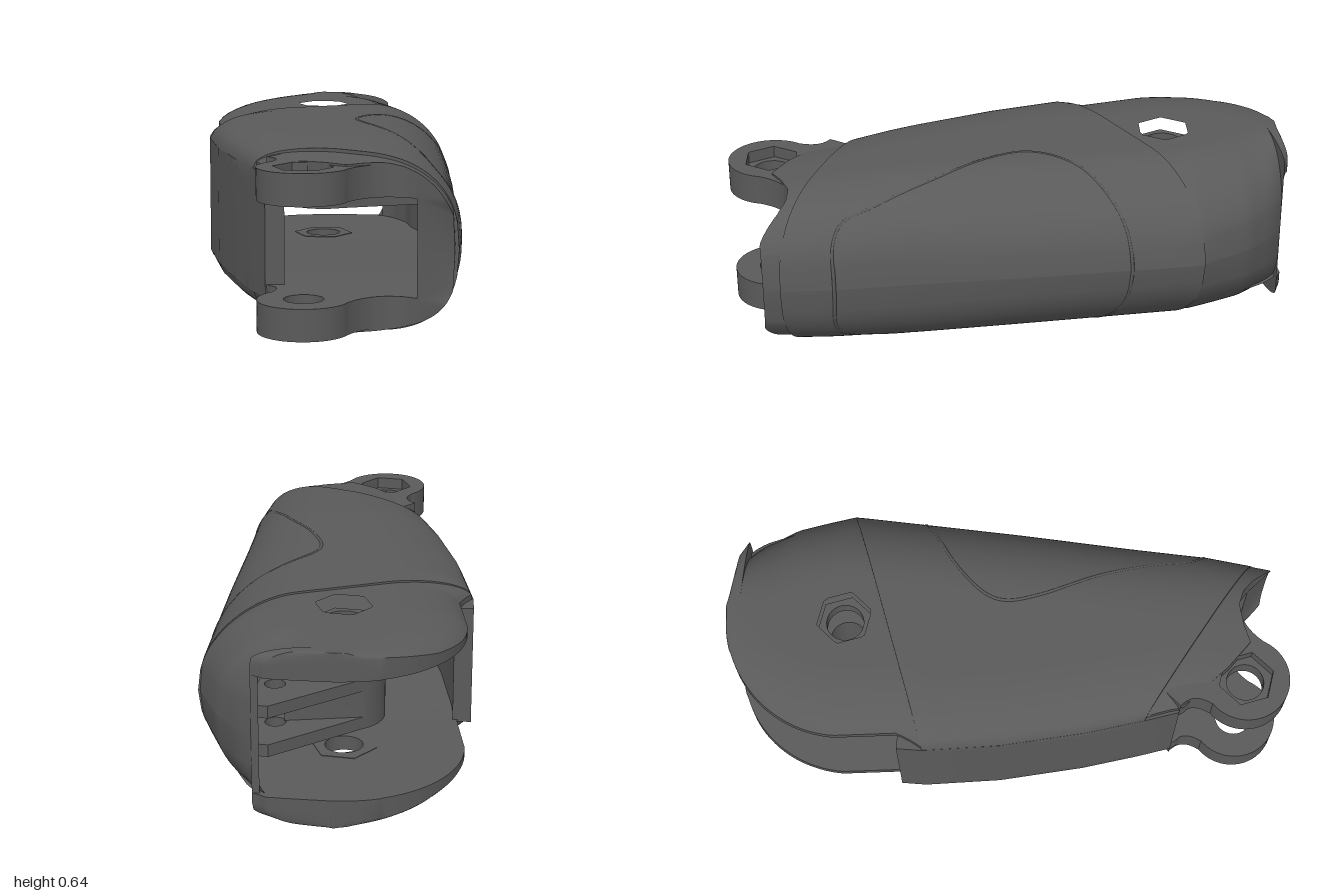
import * as THREE from 'three';
import { toCreasedNormals } from 'three/addons/utils/BufferGeometryUtils.js';

const MID = 0.316, N = 52;
const PIN = [-0.03, -0.58], LUG = [-0.135, 0.845];
const HEX = 0.1, BORE = 0.066, TURN = 0.17;
const mat = new THREE.MeshStandardMaterial({ color: 0x5a5a5a });

// piecewise linear lookup
function table(pts, t) {
  if (t <= pts[0][0]) return pts[0][1];
  for (let i = 1; i < pts.length; i++) {
    const [a, va] = pts[i - 1], [b, vb] = pts[i];
    if (t <= b) return va + (vb - va) * (t - a) / (b - a);
  }
  return pts[pts.length - 1][1];
}

// plan edges, crown height, rim height, cavity ceiling and wall thickness along z
const LEFT = [[-0.58, -0.45], [-0.36, -0.425], [-0.31, -0.445], [-0.27, -0.468], [0, -0.43], [0.3, -0.36], [0.5, -0.3], [0.62, -0.26]];
const RIGHT = [[-1, 0], [-0.985, 0.2], [-0.95, 0.27], [-0.9, 0.32], [-0.8, 0.39], [-0.7, 0.43], [-0.62, 0.46], [-0.6, 0.467], [0, 0.435], [0.4, 0.405], [0.7, 0.39], [0.93, 0.36]];
const xl = z => z < -0.58 ? PIN[0] - Math.sqrt(Math.max(0, 0.1764 - (z - PIN[1]) ** 2)) : table(LEFT, z);
const xr = z => table(RIGHT, z);
const crown = z => table([[0.4, 0.632], [0.7, 0.615], [0.93, 0.6]], z);
const rim = z => table([[-1, 0.6], [-0.85, 0.55], [-0.7, 0.53]], z);
const ceiling = z => table([[-0.4, 0.525], [0.4, 0.48]], z);
const thickness = z => table([[-0.955, 0.025], [-0.7, 0.095], [0.4, 0.1], [0.9, 0.115]], z);
const roundness = z => table([[-0.9, 2.3], [-0.6, 1.95], [0, 2.1], [0.9, 2.5]], z);

// outer surface of the upper half
function topY(x, z, low = MID, drop = 0) {
  const l = xl(z), r = xr(z), w = Math.max(r - l, 0.01), H = crown(z) - drop, e = roundness(z);
  const c = v => Math.min(1, Math.max(0, v));
  const dl = 1 - c((x - l) / Math.min(0.26, w / 2)), dr = 1 - c((r - x) / Math.min(0.33, w / 2));
  const yl = rim(z) + (H - rim(z)) * Math.sqrt(1 - dl * dl);
  const yr = low + (H - low) * (1 - dr ** e) ** (1 / e);
  return Math.min(yl, yr);
}

const hexRadius = a => {
  const s = Math.PI / 3, m = (((a - TURN) % s) + s) % s;
  return HEX * Math.cos(s / 2) / Math.cos(m - s / 2);
};

// slanted stations of the shell: tail, band seam, body, front seam, mouth
const backSeam = x => -0.27 - 0.366 * (x + 0.47);
const frontSeam = x => 0.5 + 0.56 * (x + 0.3);
const mouth = x => table([[-0.26, 0.62], [-0.1, 0.78], [0, 0.855], [0.06, 0.83], [0.14, 0.81], [0.2, 0.825], [0.25, 0.86], [0.32, 0.93]], x);
const flat = z => () => z;
const SEGMENTS = [
  // from, to, steps, inset, closed side wall
  [flat(-1), flat(-0.955), 8, 0.007, false],
  [flat(-0.955), flat(-0.75), 10, 0.007, true],
  [flat(-0.75), backSeam, 24, 0.007, true],
  [backSeam, flat(0.3), 16, 0, true],
  [flat(0.3), frontSeam, 10, 0, true],
  [frontSeam, mouth, 6, 0.012, true],
];

function shellHalf() {
  const rings = [];
  for (const [from, to, steps, drop, wall] of SEGMENTS) {
    for (let i = 0; i <= steps; i++) {
      const zAt = x => from(x) + (to(x) - from(x)) * i / steps;
      let L = -0.3, R = 0.4;
      for (let k = 0; k < 12; k++) { L = xl(zAt(L)); R = xr(zAt(R)); }
      if (R - L > 0.4) { R -= drop; L += drop; }
      const low = wall ? MID : 0.56, inner = wall ? R - thickness(zAt(R)) : R, ring = [];
      const add = (x, yOf) => {
        let z = zAt(x);
        const dx = x - PIN[0], dz = z - PIN[1], d = Math.hypot(dx, dz), a = Math.atan2(dz, dx), h = hexRadius(a);
        const cut = d < h;
        if (cut) { x = PIN[0] + h * Math.cos(a); z = PIN[1] + h * Math.sin(a); }
        ring.push({ p: [x, yOf(x, z), z], cut });
      };
      // finer spacing toward the steep right side
      const across = k => {
        const t = k / N;
        return L + (R - L) * Math.min(1, t + 0.16 * Math.sin(Math.PI * t) * t);
      };
      for (let k = 0; k <= N; k++) add(across(k), (x, z) => k === N ? low : topY(x, z, low, drop));
      add(inner, (x, z) => wall ? MID : ceiling(z));
      for (let k = N; k >= 0; k--) add(Math.min(inner, across(k)), (x, z) => ceiling(z));
      rings.push(ring);
    }
  }
  const pos = [];
  const tri = (a, b, c) => pos.push(...a.p, ...b.p, ...c.p);
  const quad = (a, b, c, d) => {
    if (a.cut && b.cut && c.cut && d.cut) return;
    tri(a, b, c); tri(a, c, d);
  };
  const n = 2 * N + 3;
  for (let s = 0; s + 1 < rings.length; s++)
    for (let k = 0; k < n; k++) {
      const q = (k + 1) % n;
      quad(rings[s][k], rings[s + 1][k], rings[s + 1][q], rings[s][q]);
    }
  // end caps
  const cap = (r, front) => {
    for (let k = 0; k < N; k++) {
      const o = r[k], o1 = r[k + 1], i = r[n - 1 - k], i1 = r[n - 2 - k];
      front ? quad(o, i, i1, o1) : quad(o, o1, i1, i);
    }
    front ? tri(r[N], r[N + 2], r[N + 1]) : tri(r[N], r[N + 1], r[N + 2]);
  };
  cap(rings[0], false);
  cap(rings[rings.length - 1], true);
  const g = new THREE.BufferGeometry();
  g.setAttribute('position', new THREE.Float32BufferAttribute(pos, 3));
  return toCreasedNormals(g, 0.6);
}

// reflect a geometry without index through the middle height
function mirrored(geo) {
  const g = geo.clone();
  for (const [attr, base] of [[g.attributes.position, 2 * MID], [g.attributes.normal, 0]])
    for (let i = 0; i < attr.count; i += 3) {
      const v = [0, 2, 1].map(j => [attr.getX(i + j), base - attr.getY(i + j), attr.getZ(i + j)]);
      v.forEach((q, j) => attr.setXYZ(i + j, ...q));
    }
  return g;
}

// plan shapes use (x, -z); slab raises them from y0 to y1
function slab(shape, y0, y1) {
  const g = new THREE.ExtrudeGeometry(shape, { depth: y1 - y0, bevelEnabled: false, curveSegments: 32 });
  g.rotateX(-Math.PI / 2).translate(0, y0, 0);
  return toCreasedNormals(g, 0.6);
}
const hexPoints = ([cx, cz], r = HEX) => Array.from({ length: 6 }, (_, i) => {
  const a = TURN + i * Math.PI / 3;
  return new THREE.Vector2(cx + r * Math.cos(a), -(cz + r * Math.sin(a)));
});
const circle = ([cx, cz], r) => new THREE.Path().absarc(cx, -cz, r, 0, Math.PI * 2);
const withHoles = (shape, ...holes) => { shape.holes.push(...holes); return shape; };

function lugShape(hole) {
  const s = new THREE.Shape().moveTo(-0.2, -0.56);
  s.lineTo(-0.255, -0.62);
  s.quadraticCurveTo(-0.2, -0.66, -0.237, -0.728);
  s.absarc(LUG[0], -LUG[1], 0.153, 2.3, 5.9, false);
  s.quadraticCurveTo(0.06, -0.82, 0.14, -0.808);
  s.lineTo(0.14, -0.7);
  return withHoles(s, hole);
}

function guideShape(end, ...holes) {
  const s = new THREE.Shape().absarc(PIN[0], -PIN[1], 0.14, 2.1, 5.2, false);
  end.forEach(p => s.lineTo(...p));
  return withHoles(s, ...holes);
}

export function createModel() {
  const model = new THREE.Group();
  const add = (name, geo) => {
    const m = new THREE.Mesh(geo, mat);
    m.name = name;
    model.add(m);
  };
  const addPair = (name, geo) => {
    add('upper' + name, geo);
    add('lower' + name, mirrored(geo));
  };

  addPair('Shell', shellHalf());
  // nut recess of the rear joint: seat and hexagonal walls
  addPair('NutSeat', slab(withHoles(new THREE.Shape(hexPoints(PIN)), circle(PIN, BORE)), 0.523, 0.575));
  addPair('NutCollar', slab(withHoles(new THREE.Shape(hexPoints(PIN, HEX + 0.015)), new THREE.Path(hexPoints(PIN))), 0.523, 0.6235));
  // front hinge lugs with nut recess
  addPair('LugBase', slab(lugShape(circle(LUG, BORE)), 0.48, 0.545));
  addPair('LugRecess', slab(lugShape(new THREE.Path(hexPoints(LUG))), 0.545, 0.587));

  // side wall on the short side
  const zs = [-0.36, -0.27, -0.13, 0, 0.15, 0.3, 0.4, 0.5, 0.62];
  const edge = inset => zs.map(z => new THREE.Vector2(xl(Math.max(z, -0.27)) + inset, -z));
  add('sideWall', slab(new THREE.Shape([...edge(0), ...edge(0.065).reverse()]), 2 * MID - 0.531, 0.531));

  // cable guide: hub around the pin and two slotted plates
  const arm = [[0.4, 0.55], [0.38, 0.74], [0.27, 0.92], [0.2, 0.93]];
  addPair('GuidePlate', slab(guideShape(arm, circle(PIN, BORE), circle([0.19, -0.75], 0.035)), 0.363, 0.406));
  add('guideHub', slab(guideShape([[0.16, 0.5], [0.16, 0.74]], circle(PIN, BORE)), 0.269, 0.363));

  // raised outline of the grip panel
  const plan = [[xr(-0.35), -0.35], [0.444, -0.345], [0.42, -0.335], [0.34, -0.29], [0.2, -0.2], [0.1, -0.09], [0.08, -0.02],
    [0.11, 0.1], [0.21, 0.32], [0.28, 0.52], [0.32, 0.65], [0.37, 0.69], [xr(0.69), 0.69]];
  const path = new THREE.CatmullRomCurve3(plan.map(([x, z]) => new THREE.Vector3(x, 0, z)), false, 'centripetal');
  const line = path.getPoints(120).map(p => new THREE.Vector3(p.x - 0.003, topY(p.x, p.z) - 0.004, p.z));
  addPair('PanelEdge', new THREE.TubeGeometry(new THREE.CatmullRomCurve3(line), 160, 0.007, 6).toNonIndexed());
  return model;
}
